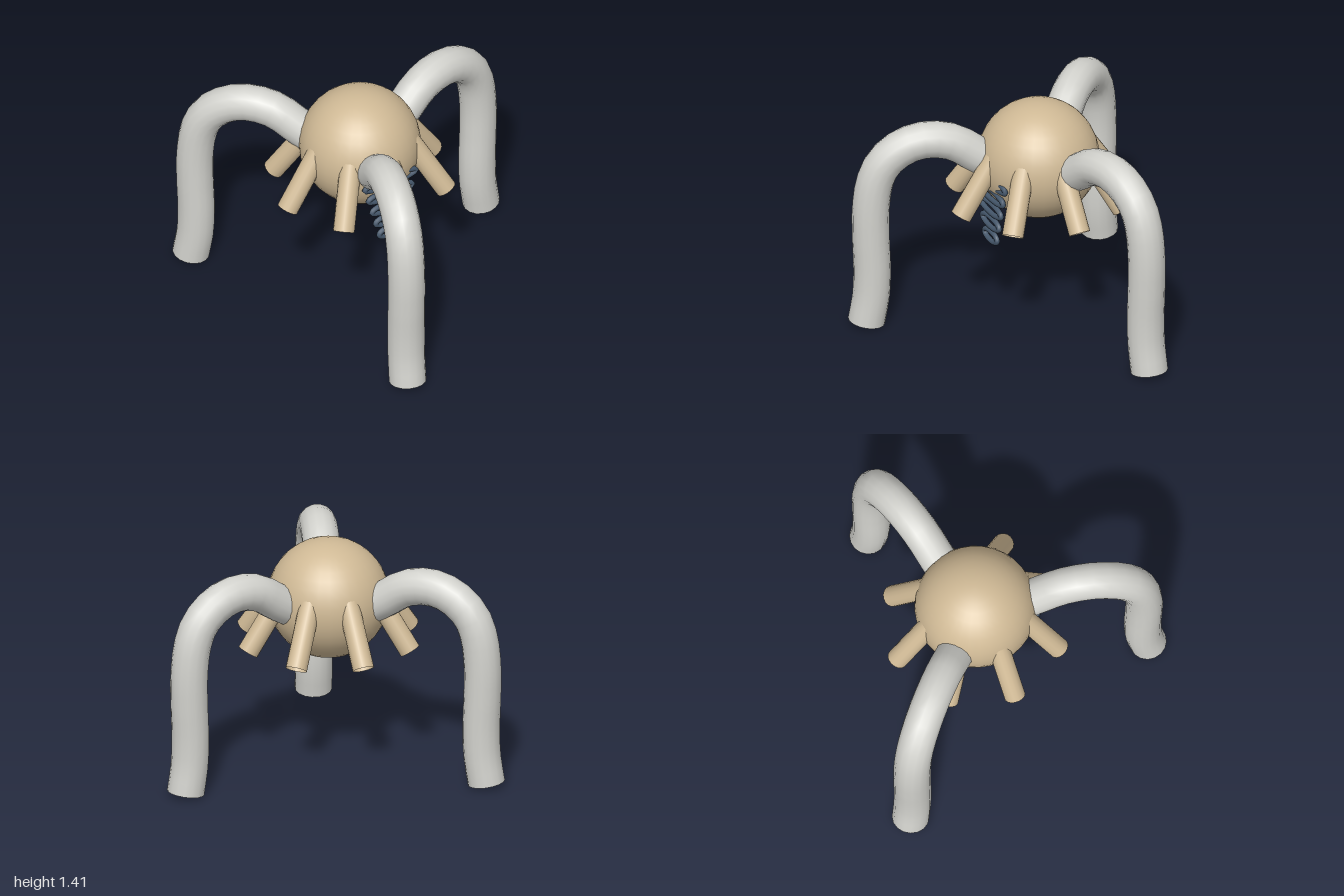
import * as THREE from 'three';

const tan = new THREE.MeshStandardMaterial({ name: 'tan', color: 0xcfb995, side: THREE.DoubleSide });
const grey = new THREE.MeshStandardMaterial({ name: 'pale grey', color: 0xd2d2cd, side: THREE.DoubleSide });
const slate = new THREE.MeshStandardMaterial({ name: 'slate blue', color: 0x44566a });

const CENTRE = new THREE.Vector3(-0.17, 1.05, -0.107);

function add(parent, name, geometry, material) {
  const mesh = new THREE.Mesh(geometry, material);
  mesh.name = name;
  parent.add(mesh);
  return mesh;
}

// Point at distance r from the body's vertical axis, at height y, in direction angle (from +x to +z)
function around(r, y, angle) {
  return new THREE.Vector3(CENTRE.x + r * Math.cos(angle), y, CENTRE.z + r * Math.sin(angle));
}

export function createModel() {
  const model = new THREE.Group();
  model.name = 'tripodCreature';

  // Round body
  add(model, 'body', new THREE.SphereGeometry(0.368, 32, 20), tan).position.copy(CENTRE);

  // Three arched legs, open at the feet
  const legProfile = [
    [0.2, 1.0], [0.37, 1.1], [0.52, 1.2], [0.66, 1.23], [0.77, 1.215], [0.87, 1.165], [0.95, 1.085],
    [0.998, 0.97], [1.022, 0.79], [1.022, 0.6], [1.014, 0.38], [1.02, 0.2], [1.048, 0.027],
  ];
  for (let i = 0; i < 3; i++) {
    const angle = THREE.MathUtils.degToRad(-11.5 + 120 * i);
    const path = new THREE.CatmullRomCurve3(legProfile.map(([r, y]) => around(r, y, angle)));
    add(model, 'leg', new THREE.TubeGeometry(path, 24, 0.113, 16), grey);
  }

  // Eight hollow pegs slanting out and down
  for (let i = 0; i < 8; i++) {
    const angle = (i * Math.PI) / 4;
    const path = new THREE.LineCurve3(around(0.3, 1.118, angle), around(0.528, 0.778, angle));
    add(model, 'peg', new THREE.TubeGeometry(path, 1, 0.065, 16), tan);
  }

  // Flat coil of stacked oval rings, widening upward
  const coil = new THREE.Group();
  coil.name = 'coil';
  coil.position.set(CENTRE.x, 0.594, 0.217);
  model.add(coil);
  for (let i = 0; i < 5; i++) {
    const points = [];
    for (let k = 0; k < 24; k++) {
      const t = (k / 24) * Math.PI * 2;
      points.push(new THREE.Vector3((0.081 + 0.0265 * i) * Math.cos(t), 0.095 * i + 0.032 * Math.sin(t), 0));
    }
    const path = new THREE.CatmullRomCurve3(points, true);
    add(coil, 'coilRing', new THREE.TubeGeometry(path, 48, 0.017, 10, true), slate);
  }
  return model;
}
